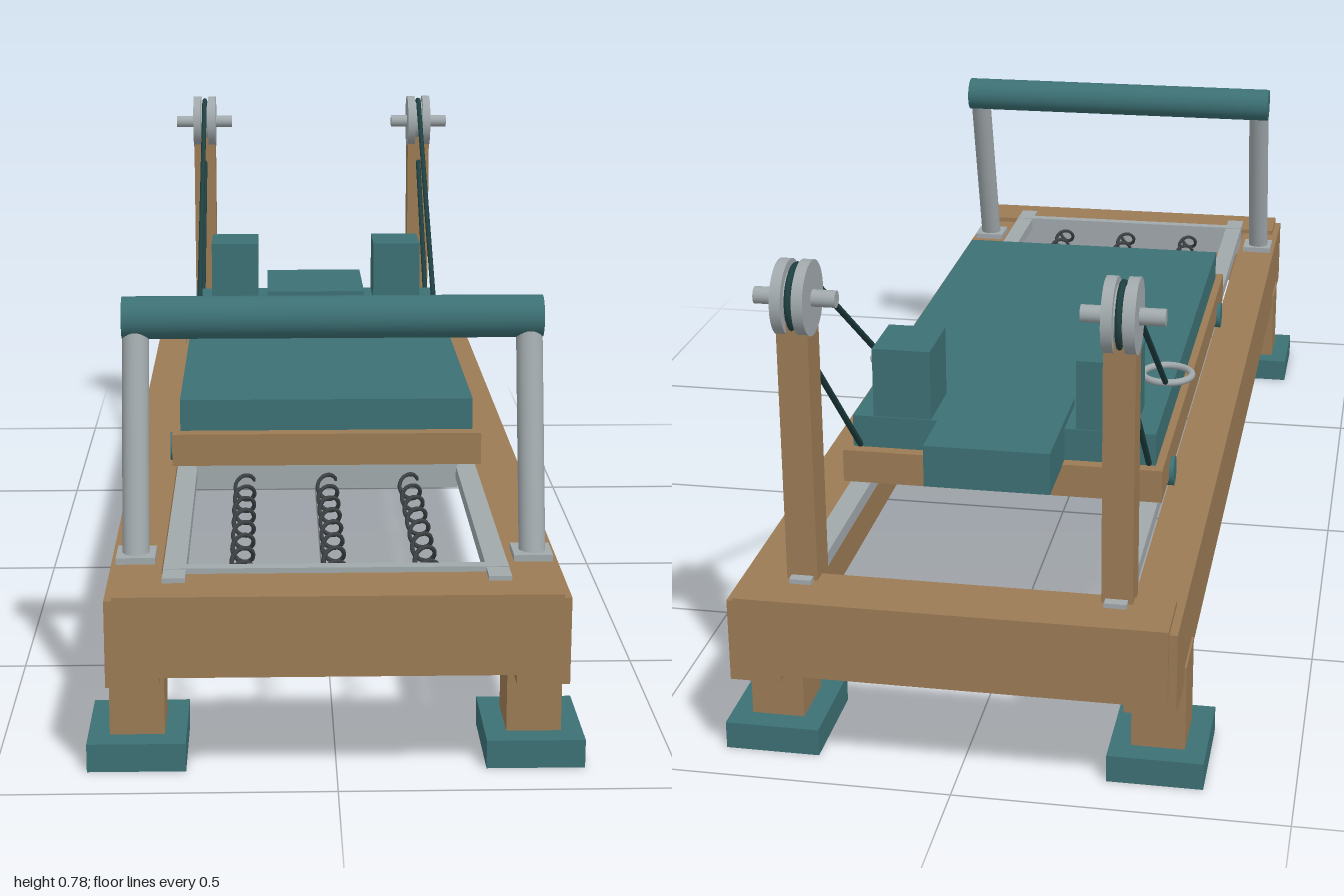
import * as THREE from 'three';

const mat = (name, color, side = THREE.FrontSide) => {
  const m = new THREE.MeshStandardMaterial({ color, side });
  m.name = name;
  return m;
};

export function createModel() {
  const wood = mat('wood', 0x9c7b55);
  const teal = mat('teal upholstery', 0x3c7074);
  const metal = mat('brushed metal', 0xa0a8ab);
  const rope = mat('dark rope', 0x1f3f40);
  const steel = mat('spring steel', 0x3c4143);

  const model = new THREE.Group();
  model.name = 'reformerBed';

  const add = (name, geo, material) => {
    const mesh = new THREE.Mesh(geo, material);
    mesh.name = name;
    model.add(mesh);
    return mesh;
  };
  // Box given by its extents on each axis
  const box = (name, material, [x0, x1], [y0, y1], [z0, z1]) =>
    add(name, new THREE.BoxGeometry(x1 - x0, y1 - y0, z1 - z0), material)
      .position.set((x0 + x1) / 2, (y0 + y1) / 2, (z0 + z1) / 2);
  // Cylinder between two points
  const rod = (name, material, r, a, b, sides = 24) => {
    const from = new THREE.Vector3(...a), to = new THREE.Vector3(...b);
    const dir = to.clone().sub(from);
    const mesh = add(name, new THREE.CylinderGeometry(r, r, dir.length(), sides), material);
    mesh.position.copy(from).add(to).multiplyScalar(0.5);
    mesh.quaternion.setFromUnitVectors(new THREE.Vector3(0, 1, 0), dir.normalize());
  };
  // Extents mirrored to the chosen side
  const mx = (s, a, b) => (s > 0 ? [a, b] : [-b, -a]);

  // Frame ends
  box('frontEndRail', wood, [-0.318, 0.318], [0.175, 0.295], [0.9, 1]);
  box('backEndRail', wood, [-0.318, 0.318], [0.175, 0.295], [-1, -0.9]);

  // Carriage with its pads
  box('carriage', wood, [-0.258, 0.258], [0.308, 0.362], [-0.597, 0.385]);
  box('carriagePad', teal, [-0.245, 0.245], [0.362, 0.415], [-0.577, 0.36]);
  box('headrest', teal, [-0.099, 0.099], [0.36, 0.428], [-0.71, -0.478]);

  // Spring bars
  box('frontSpringBar', metal, [-0.25, 0.25], [0.245, 0.303], [0.88, 0.9]);
  box('carriageSpringBar', metal, [-0.22, 0.22], [0.265, 0.308], [0.355, 0.375]);

  // Foot bar
  rod('footBar', teal, 0.032, [-0.315, 0.63, 0.7], [0.315, 0.63, 0.7], 32);

  for (const s of [1, -1]) {
    box('sideRail', wood, mx(s, 0.254, 0.33), [0.157, 0.286], [-0.99, 0.99]);
    box('slideRail', metal, mx(s, 0.217, 0.25), [0.28, 0.302], [-0.94, 0.94]);

    // Legs and feet
    for (const z of [0.84, -0.84]) {
      box('leg', wood, mx(s, 0.252, 0.333), [0.04, 0.18], [z - 0.048, z + 0.048]);
      box('foot', teal, mx(s, 0.22, 0.365), [0, 0.043], [z - 0.085, z + 0.085]);
    }

    // Carriage wheels and shoulder rests
    for (const z of [0.28, -0.48])
      rod('carriageWheel', teal, 0.024, [s * 0.225, 0.313, z], [s * 0.265, 0.313, z]);
    box('shoulderRest', teal, mx(s, 0.117, 0.211), [0.41, 0.53], [-0.575, -0.46]);

    // Foot bar supports
    rod('footBarArm', metal, 0.02, [s * 0.295, 0.29, 0.8], [s * 0.295, 0.61, 0.706]);
    box('armPlate', metal, mx(s, 0.265, 0.323), [0.284, 0.296], [0.77, 0.83]);

    // Pulley post, wheel and axle
    box('pulleyPost', wood, mx(s, 0.211, 0.257), [0.285, 0.747], [-0.924, -0.866]);
    for (const x of [0.218, 0.25])
      rod('pulleyDisc', metal, 0.055, [s * (x - 0.008), 0.725, -0.893], [s * (x + 0.008), 0.725, -0.893], 32);
    rod('pulleyCore', metal, 0.042, [s * 0.22, 0.725, -0.893], [s * 0.248, 0.725, -0.893], 32);
    rod('pulleyAxle', metal, 0.0125, [s * 0.175, 0.725, -0.893], [s * 0.295, 0.725, -0.893]);

    // Rope from the handle over the pulley and down to the carriage
    const path = new THREE.CurvePath();
    const p = (y, z) => new THREE.Vector3(s * 0.234, y, z);
    const arc = [];
    for (let i = 0; i <= 10; i++) {
      const a = 1.0 + (i / 10) * 2.95;
      arc.push(p(0.725 + 0.046 * Math.sin(a), -0.893 + 0.046 * Math.cos(a)));
    }
    path.add(new THREE.LineCurve3(p(0.42, -0.365), arc[0]));
    path.add(new THREE.CatmullRomCurve3(arc));
    path.add(new THREE.LineCurve3(arc[10], p(0.362, -0.572)));
    add('rope', new THREE.TubeGeometry(path, 120, 0.005, 8), rope);

    // Hand ring
    const ring = add('handRing', new THREE.TorusGeometry(0.041, 0.006, 10, 32), metal);
    ring.rotation.x = Math.PI / 2;
    ring.position.set(s * 0.232, 0.42, -0.325);
  }

  // Coil springs between the two bars
  for (const x of [-0.137, 0, 0.137]) {
    const pts = [];
    const turns = 8, n = turns * 12;
    for (let i = 0; i <= n; i++) {
      const a = (i / 12) * Math.PI * 2;
      pts.push(new THREE.Vector3(x + 0.016 * Math.cos(a), 0.275 + 0.016 * Math.sin(a), 0.37 + 0.515 * i / n));
    }
    add('spring', new THREE.TubeGeometry(new THREE.CatmullRomCurve3(pts), 200, 0.0035, 6), steel);
  }

  return model;
}
